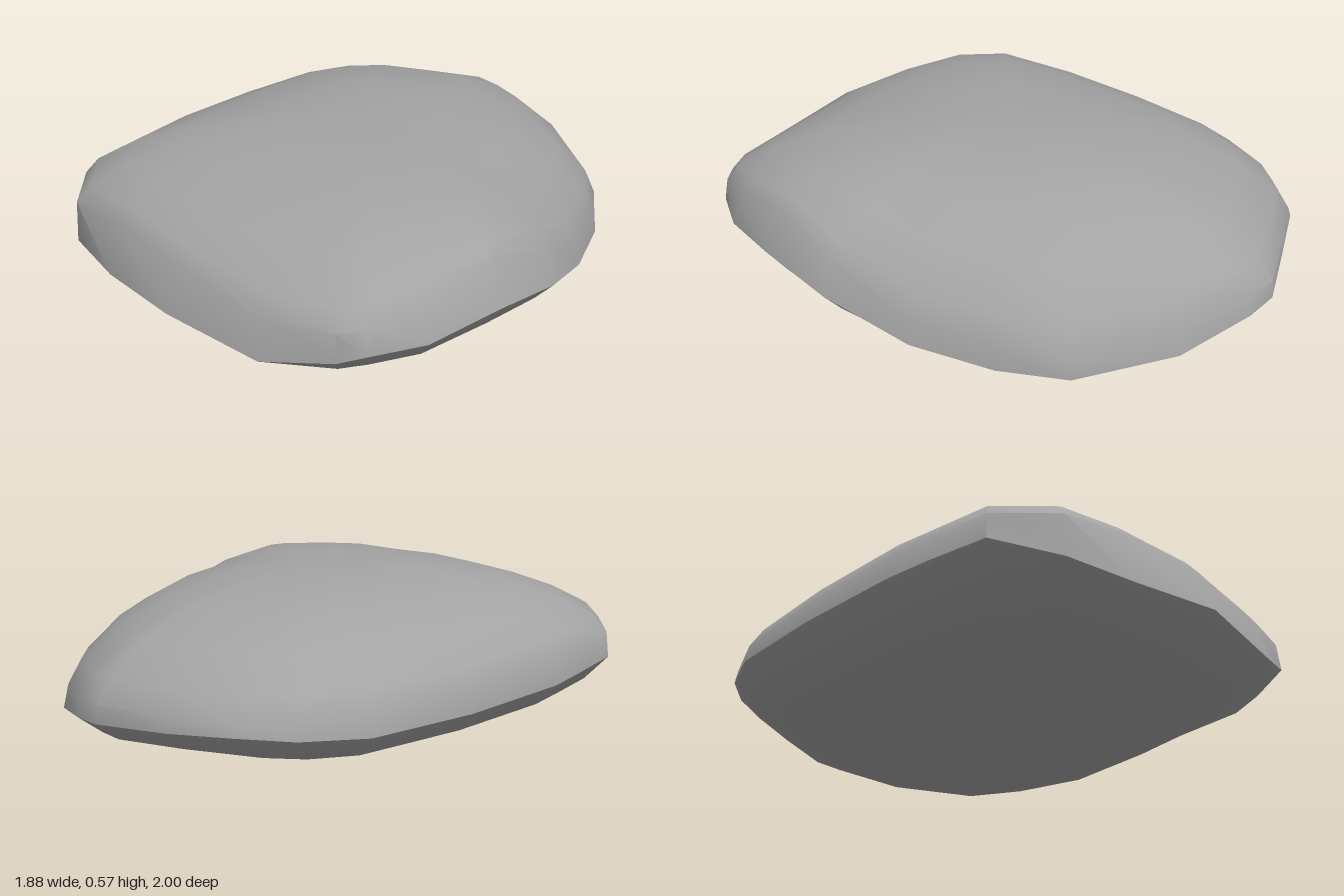
import * as THREE from 'three';
import { toCreasedNormals } from 'three/addons/utils/BufferGeometryUtils.js';

// Rim of the stone: x, z, height of lower edge, height of upper edge, inset of upper edge
const RIM = [
  [0.13, -1.00, 0.24, 0.27, 0.99], [0.35, -0.94, 0.22, 0.27, 0.995], [0.60, -0.87, 0.21, 0.27, 0.995],
  [0.69, -0.79, 0.20, 0.26, 0.99], [0.84, -0.56, 0.15, 0.23, 0.98], [0.935, -0.23, 0.12, 0.17, 0.995],
  [0.91, 0.00, 0.13, 0.21, 0.985], [0.82, 0.27, 0.15, 0.23, 0.98], [0.70, 0.55, 0.24, 0.36, 0.95],
  [0.52, 0.77, 0.29, 0.44, 0.93], [0.30, 0.93, 0.26, 0.38, 0.96], [0.13, 1.00, 0.26, 0.34, 0.985],
  [0.03, 1.00, 0.23, 0.33, 0.99], [-0.21, 0.92, 0.17, 0.31, 0.97], [-0.52, 0.73, 0.20, 0.36, 0.94],
  [-0.76, 0.48, 0.18, 0.37, 0.955], [-0.92, 0.28, 0.19, 0.34, 0.99], [-0.945, 0.05, 0.25, 0.34, 0.99],
  [-0.85, -0.13, 0.24, 0.32, 0.99], [-0.77, -0.27, 0.23, 0.31, 0.99], [-0.52, -0.59, 0.22, 0.29, 0.99],
  [-0.25, -0.87, 0.22, 0.28, 0.99], [-0.05, -0.97, 0.23, 0.28, 0.99],
];
const CX = 0.05, TOP = 0.572;

// Rings from the crown down: distance from the middle, and share of the rise or drop
const DOME = [[0, 1], [0.18, 0.99], [0.36, 0.945], [0.62, 0.79], [0.82, 0.53], [0.95, 0.24], [1, 0]];
const BELLY = [[1, 0], [0.92, 0.33], [0.75, 0.62], [0.5, 0.83], [0.25, 0.96], [0, 1]];

function stoneGeometry() {
  const rings = [];
  for (const [s, rise] of DOME) {
    rings.push(RIM.map(([x, z, , hi, inset]) =>
      [CX + (x - CX) * s * inset, hi + (TOP - hi) * rise, z * s * inset]));
  }
  for (const [s, drop] of BELLY) {
    rings.push(RIM.map(([x, z, lo]) => [CX + (x - CX) * s, lo * (1 - drop), z * s]));
  }

  // Join neighbouring rings, leaving out collapsed triangles at the two poles
  const n = RIM.length, last = rings.length - 2, index = [];
  for (let i = 0; i <= last; i++) {
    for (let j = 0; j < n; j++) {
      const k = (j + 1) % n;
      const a = i * n + j, b = i * n + k, c = a + n, d = b + n;
      if (i > 0) index.push(a, b, c);
      if (i < last) index.push(b, d, c);
    }
  }
  const geometry = new THREE.BufferGeometry();
  geometry.setAttribute('position', new THREE.Float32BufferAttribute(rings.flat(2), 3));
  geometry.setIndex(index);
  return toCreasedNormals(geometry, 0.6);
}

export function createModel() {
  const group = new THREE.Group();
  group.name = 'flatStone';
  const stoneGrey = new THREE.MeshStandardMaterial({ color: 0xa3a3a3 });
  stoneGrey.name = 'stoneGrey';
  const stone = new THREE.Mesh(stoneGeometry(), stoneGrey);
  stone.name = 'stone';
  group.add(stone);
  return group;
}
